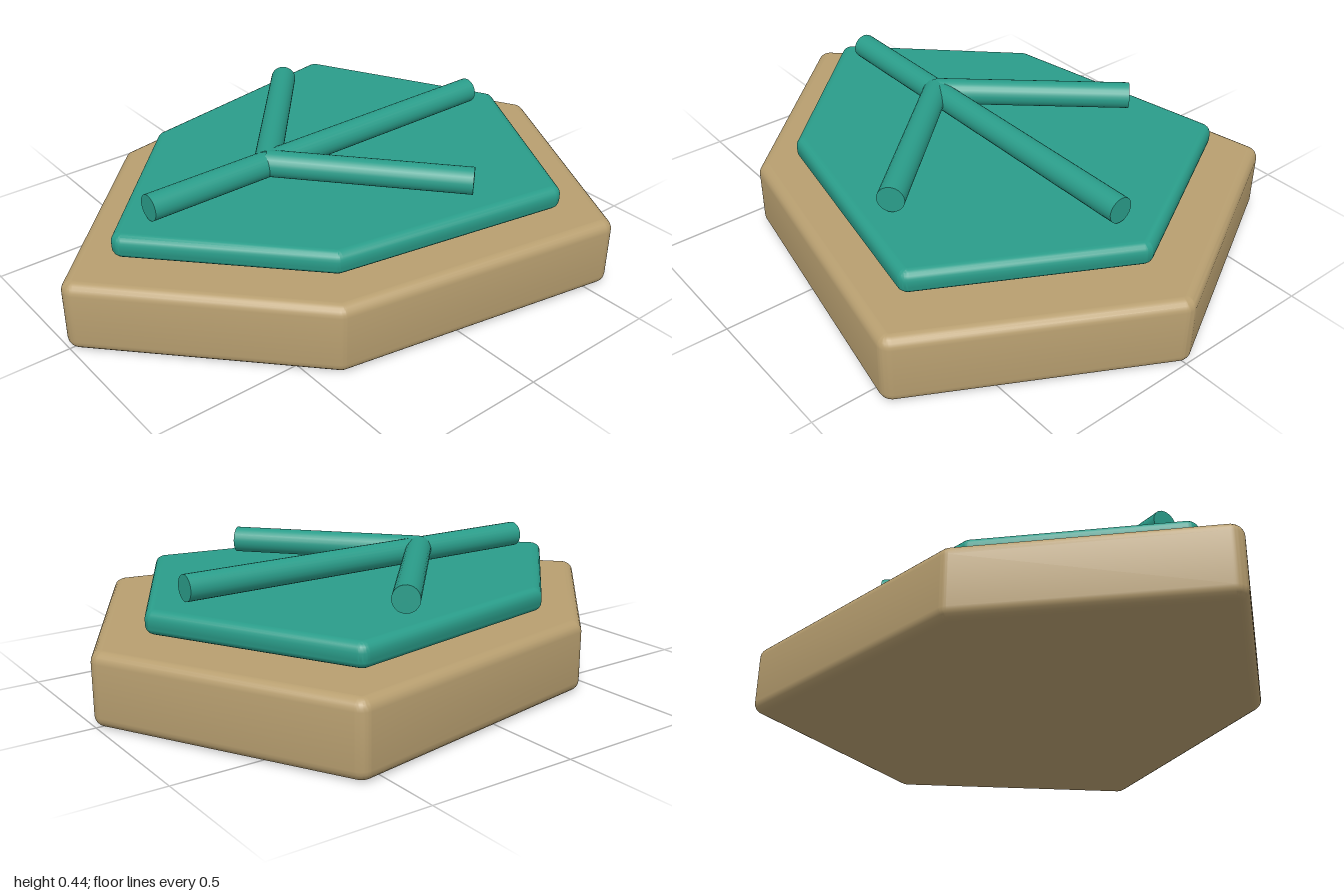
import * as THREE from 'three';
import { toCreasedNormals } from 'three/addons/utils/BufferGeometryUtils.js';

// Shield corners, counter-clockwise, drawn as (x, -z)
const CORNERS = [
  [0, 1.005], [-0.805, 0.575], [-0.625, -0.42],
  [0, -1.015], [0.625, -0.42], [0.805, 0.575],
];

// Shield outline with an arc of the given radius at every corner
function shieldShape(scale, radius) {
  const pts = CORNERS.map(([x, y]) => new THREE.Vector2(x * scale, y * scale));
  const shape = new THREE.Shape();
  const n = pts.length;
  pts.forEach((p, i) => {
    const before = p.clone().sub(pts[(i + n - 1) % n]);
    const after = pts[(i + 1) % n].clone().sub(p);
    const a0 = before.angle() - Math.PI / 2;
    let a1 = after.angle() - Math.PI / 2;
    if (a1 < a0) a1 += Math.PI * 2;
    const mid = (a0 + a1) / 2;
    const inset = radius / Math.cos((a1 - a0) / 2);
    shape.absarc(p.x - Math.cos(mid) * inset, p.y - Math.sin(mid) * inset, radius, a0, a1, false);
  });
  return shape;
}

// Flat shield slab with rounded edges, lying between two heights
function slab(name, scale, bottom, top, bevel, radius, material) {
  const raw = new THREE.ExtrudeGeometry(shieldShape(scale, radius), {
    depth: top - bottom - bevel * 2,
    bevelEnabled: true,
    bevelThickness: bevel,
    bevelSize: bevel,
    bevelOffset: -bevel,
    bevelSegments: 5,
    curveSegments: 6,
  });
  const lids = raw.groups[0];
  const geo = toCreasedNormals(raw, 0.6);
  // keep the top and bottom faces perfectly flat
  const half = (top - bottom) / 2 - bevel;
  for (let i = lids.start; i < lids.start + lids.count; i++) {
    geo.attributes.normal.setXYZ(i, 0, 0, geo.attributes.position.getZ(i) > half ? 1 : -1);
  }
  geo.clearGroups();
  geo.rotateX(-Math.PI / 2);
  geo.translate(0, bottom + bevel, 0);
  const mesh = new THREE.Mesh(geo, material);
  mesh.name = name;
  return mesh;
}

// Round rod between two points
function rod(name, from, to, radius, material) {
  const a = new THREE.Vector3(...from);
  const b = new THREE.Vector3(...to);
  const dir = b.clone().sub(a);
  const mesh = new THREE.Mesh(new THREE.CylinderGeometry(radius, radius, dir.length(), 24), material);
  mesh.position.copy(a).add(b).multiplyScalar(0.5);
  mesh.quaternion.setFromUnitVectors(new THREE.Vector3(0, 1, 0), dir.normalize());
  mesh.name = name;
  return mesh;
}

export function createModel() {
  const tan = new THREE.MeshStandardMaterial({ color: 0xb89f70 });
  tan.name = 'tan';
  const teal = new THREE.MeshStandardMaterial({ color: 0x2a9d8a });
  teal.name = 'teal';

  const model = new THREE.Group();
  model.name = 'shieldPlaque';

  // Base and raised panel, with a narrow gap between them
  model.add(slab('base', 1, 0, 0.24, 0.035, 0.045, tan));
  model.add(slab('panel', 0.82, 0.26, 0.34, 0.03, 0.038, teal));

  // Central rod and the two branches
  model.add(rod('centreRod', [0, 0.389, 0.685], [0, 0.389, -0.685], 0.044, teal));
  for (const side of [1, -1]) {
    model.add(rod(side > 0 ? 'leftBranch' : 'rightBranch',
      [0, 0.392, 0.235], [side * 0.508, 0.392, -0.212], 0.045, teal));
  }
  return model;
}
